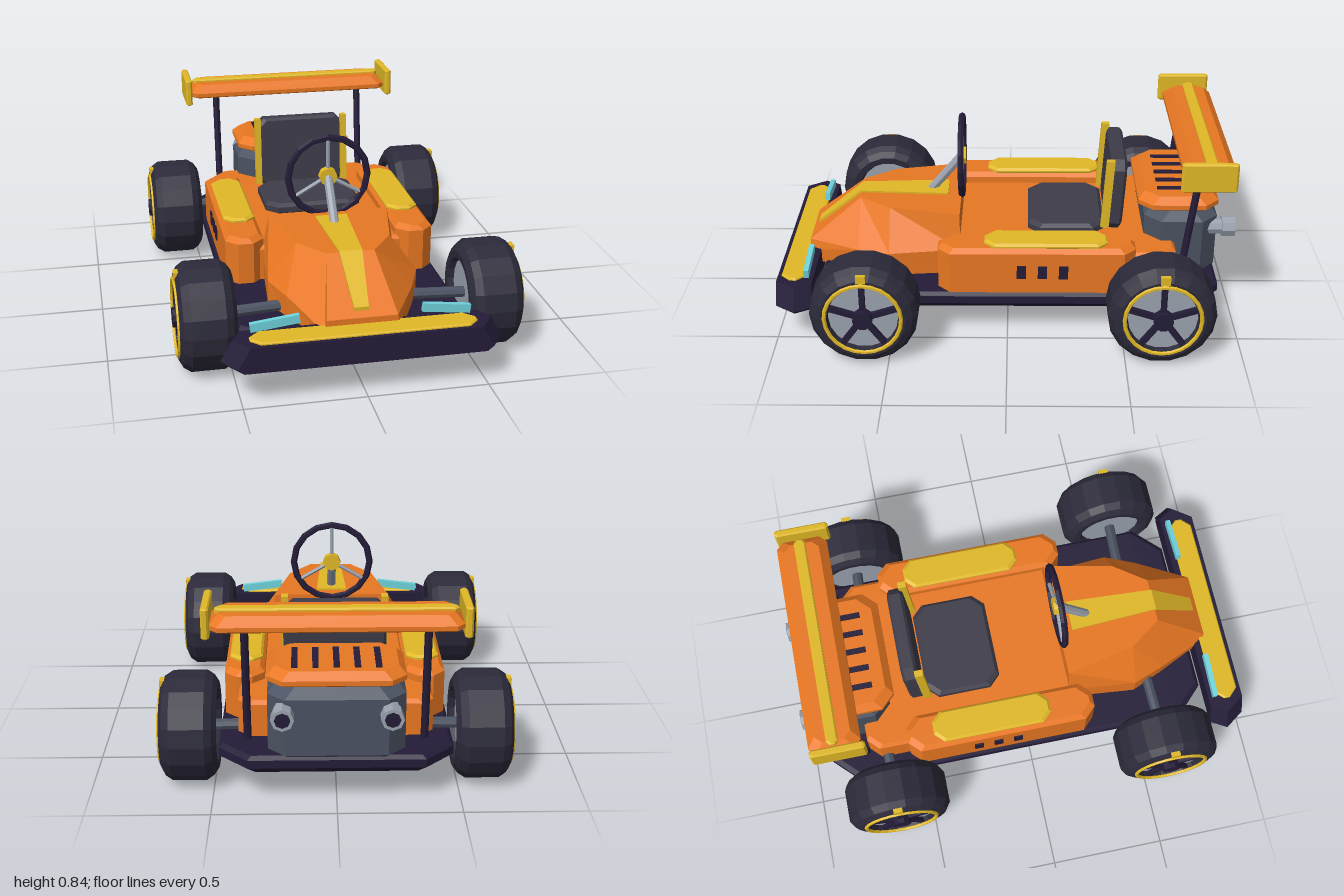
import * as THREE from 'three';

const mat = (color) => new THREE.MeshStandardMaterial({ color, flatShading: true, side: THREE.DoubleSide });
const orange = mat(0xe87722), yellow = mat(0xe0b826), navy = mat(0x241c38), rubber = mat(0x2c2a3a);
const steel = mat(0x9aa2ae), iron = mat(0x4a5261), fabric = mat(0x3d3c49), glass = mat(0x6fd3dc);

// Skin a list of rings (counter-clockwise seen from the last ring's side) and cap both ends
function loft(rings) {
  const pos = [], n = rings[0].length, last = rings.length - 1;
  const tri = (...p) => p.forEach((v) => pos.push(...v));
  for (let i = 0; i < last; i++) {
    for (let j = 0; j < n; j++) {
      const k = (j + 1) % n, a = rings[i], b = rings[i + 1];
      tri(a[j], a[k], b[k]);
      tri(a[j], b[k], b[j]);
    }
  }
  for (let j = 1; j < n - 1; j++) {
    tri(rings[0][0], rings[0][j + 1], rings[0][j]);
    tri(rings[last][0], rings[last][j], rings[last][j + 1]);
  }
  const g = new THREE.BufferGeometry();
  g.setAttribute('position', new THREE.Float32BufferAttribute(pos, 3));
  g.computeVertexNormals();
  return g;
}

// Slab with chamfered corners in plan (c) and bevelled upper and lower edges (lo, hi)
function slab(x0, x1, y0, y1, z0, z1, c, hi = 0.015, lo = hi) {
  const ring = (y, d) => {
    const a = x0 + d, b = x1 - d, f = z1 - d, r = z0 + d;
    return [[b, y, f - c], [b, y, r + c], [b - c, y, r], [a + c, y, r],
      [a, y, r + c], [a, y, f - c], [a + c, y, f], [b - c, y, f]];
  };
  return loft([ring(y0, lo), ring(y0 + lo, 0), ring(y1 - hi, 0), ring(y1, hi)]);
}

function add(parent, name, geometry, material, x = 0, y = 0, z = 0) {
  const m = new THREE.Mesh(geometry, material);
  m.name = name;
  m.position.set(x, y, z);
  parent.add(m);
  return m;
}

// Round bar between two points
function bar(parent, name, from, to, r, material, sides = 8) {
  const a = new THREE.Vector3(...from), b = new THREE.Vector3(...to), d = b.clone().sub(a);
  const m = add(parent, name, new THREE.CylinderGeometry(r, r, d.length(), sides), material);
  m.position.copy(a).add(b).multiplyScalar(0.5);
  m.quaternion.setFromUnitVectors(new THREE.Vector3(0, 1, 0), d.normalize());
  return m;
}

// Wheel with its outer face towards +x
function makeWheel(name) {
  const wheel = new THREE.Group();
  wheel.name = name;
  const profile = [[0.14, -0.09], [0.15, -0.115], [0.18, -0.118], [0.208, -0.1], [0.228, -0.07],
    [0.228, 0.07], [0.208, 0.1], [0.18, 0.115], [0.152, 0.112], [0.145, 0.085]]
    .map(([r, h]) => new THREE.Vector2(r, h));
  add(wheel, 'tire', new THREE.LatheGeometry(profile, 18), rubber).rotation.z = -Math.PI / 2;
  add(wheel, 'rim', new THREE.CylinderGeometry(0.148, 0.148, 0.18, 18), steel).rotation.z = -Math.PI / 2;
  add(wheel, 'rimRing', new THREE.TorusGeometry(0.16, 0.009, 6, 24), yellow, 0.115).rotation.y = Math.PI / 2;
  add(wheel, 'hub', new THREE.CylinderGeometry(0.042, 0.042, 0.06, 10), navy, 0.1).rotation.z = -Math.PI / 2;
  for (let i = 0; i < 5; i++) {
    const spoke = new THREE.Group();
    add(spoke, 'spoke', new THREE.BoxGeometry(0.03, 0.12, 0.024), navy, 0.095, 0.09);
    spoke.rotation.x = (i * Math.PI * 2) / 5;
    wheel.add(spoke);
  }
  add(wheel, 'rimMarker', new THREE.BoxGeometry(0.03, 0.035, 0.04), yellow, 0.104, 0.188);
  return wheel;
}

export function createModel() {
  const kart = new THREE.Group();
  kart.name = 'kart';

  // Floor pan and front bumper
  add(kart, 'floorPan', slab(-0.475, 0.475, 0.135, 0.215, -0.92, 0.825, 0.12, 0.015, 0.03), navy);
  const bumperRing = (y, hx) => [[hx, y, 0.91], [hx - 0.04, y, 0.84], [-hx + 0.04, y, 0.84],
    [-hx, y, 0.91], [-hx + 0.06, y, 0.995], [hx - 0.06, y, 0.995]];
  add(kart, 'frontBumper', loft([bumperRing(0.155, 0.55), bumperRing(0.175, 0.575), bumperRing(0.265, 0.525)]), navy);
  add(kart, 'bumperTrim', slab(-0.46, 0.46, 0.255, 0.275, 0.87, 0.978, 0.04, 0.005), yellow);

  // Tub
  add(kart, 'tub', slab(-0.4, 0.4, 0.2, 0.37, -0.73, 0.27, 0.05), orange);

  // Nose: hexagonal sections running forward
  const noseRing = (z, wb, wm, ym, wt, yt) => [[wb, 0.2, z], [wm, ym, z], [wt, yt, z],
    [-wt, yt, z], [-wm, ym, z], [-wb, 0.2, z]];
  add(kart, 'nose', loft([
    noseRing(0.21, 0.29, 0.295, 0.33, 0.265, 0.487),
    noseRing(0.52, 0.32, 0.32, 0.32, 0.2, 0.487),
    noseRing(0.66, 0.26, 0.265, 0.31, 0.1, 0.487),
    noseRing(0.89, 0.15, 0.155, 0.25, 0.145, 0.3),
  ]), orange);
  const stripeRing = (z, w, y) => [[w, y - 0.03, z], [w, y, z], [-w, y, z], [-w, y - 0.03, z]];
  add(kart, 'noseStripe', loft([stripeRing(0.27, 0.07, 0.495), stripeRing(0.665, 0.048, 0.495),
    stripeRing(0.865, 0.03, 0.335)]), yellow);

  // Parts mirrored on both sides
  for (const s of [1, -1]) {
    const span = (a, b) => (s > 0 ? [a, b] : [-b, -a]);
    const side = s > 0 ? 'left' : 'right';
    add(kart, side + 'SidePod', slab(...span(0.295, 0.462), 0.205, 0.42, -0.55, 0.3, 0.05, 0.02, 0.005), orange);
    add(kart, side + 'PodPad', slab(...span(0.305, 0.445), 0.41, 0.438, -0.43, 0.1, 0.04, 0.01), yellow);
    for (let i = 0; i < 3; i++) {
      add(kart, side + 'SideVent', new THREE.BoxGeometry(0.012, 0.06, 0.04), navy, s * 0.462, 0.313, -0.06 - i * 0.09);
    }
    add(kart, side + 'HeadLight', new THREE.BoxGeometry(0.2, 0.036, 0.022), glass, s * 0.35, 0.302, 0.867).rotation.z = -s * 0.12;

    // Wheels and axles
    for (const [end, z] of [['Front', 0.597], ['Rear', -0.647]]) {
      const wheel = makeWheel(side + end + 'Wheel');
      wheel.position.set(s * 0.6, 0.23, z);
      if (s < 0) wheel.rotation.y = Math.PI;
      kart.add(wheel);
      bar(kart, side + end + 'Axle', [s * 0.25, 0.24, z - 0.01], [s * 0.53, 0.23, z], 0.024, iron);
    }

    // Exhaust pipe with dark bore
    bar(kart, side + 'Exhaust', [s * 0.213, 0.41, -0.84], [s * 0.213, 0.41, -0.995], 0.036, steel);
    bar(kart, side + 'ExhaustTip', [s * 0.213, 0.41, -0.94], [s * 0.213, 0.41, -0.998], 0.046, steel);
    bar(kart, side + 'ExhaustBore', [s * 0.213, 0.41, -0.96], [s * 0.213, 0.41, -1], 0.032, navy);

    // Wing post and end plate
    bar(kart, side + 'WingPost', [s * 0.36, 0.2, -0.745], [s * 0.36, 0.77, -0.815], 0.016, navy);
    add(kart, side + 'WingEndPlate', slab(...span(0.486, 0.517), 0.722, 0.848, -0.944, -0.712, 0.008, 0.006), yellow);
  }

  // Seat with tilted back and side rails
  add(kart, 'seatCushion', slab(-0.222, 0.222, 0.36, 0.415, -0.425, -0.09, 0.05, 0.015), fabric);
  const back = new THREE.Group();
  back.name = 'seatBack';
  back.position.set(0, 0.38, -0.465);
  back.rotation.x = -0.06;
  add(back, 'backrest', slab(-0.215, 0.215, -0.035, 0.035, -0.335, 0.0, 0.04, 0.012), fabric).rotation.x = Math.PI / 2;
  for (const s of [1, -1]) {
    add(back, 'seatRail', new THREE.BoxGeometry(0.028, 0.32, 0.036), yellow, s * 0.208, 0.18, 0.04);
  }
  kart.add(back);

  // Engine, louvred cover
  add(kart, 'engine', slab(-0.275, 0.275, 0.2, 0.52, -0.92, -0.6, 0.07, 0.06, 0.02), iron);
  add(kart, 'engineCover', slab(-0.275, 0.275, 0.515, 0.57, -0.92, -0.57, 0.06, 0.03, 0.005), orange);
  for (let i = -2; i <= 2; i++) {
    add(kart, 'coverSlot', new THREE.BoxGeometry(0.025, 0.012, 0.2), navy, i * 0.083, 0.57, -0.755);
  }

  // Rear wing
  add(kart, 'rearWing', slab(-0.487, 0.487, 0.752, 0.81, -0.95, -0.73, 0.03, 0.035, 0.005), orange);
  add(kart, 'wingStripe', slab(-0.47, 0.47, 0.795, 0.822, -0.87, -0.82, 0.015, 0.006), yellow);

  // Steering wheel, spokes and column
  const steering = new THREE.Group();
  steering.name = 'steeringWheel';
  steering.position.set(0, 0.652, 0.207);
  add(steering, 'rim', new THREE.TorusGeometry(0.176, 0.015, 6, 16), navy);
  add(steering, 'hub', new THREE.CylinderGeometry(0.04, 0.04, 0.035, 8), yellow).rotation.x = Math.PI / 2;
  for (const a of [90, 210, 330]) {
    const t = (a * Math.PI) / 180;
    bar(steering, 'spoke', [0, 0, 0], [0.172 * Math.cos(t), 0.172 * Math.sin(t), 0], 0.009, steel, 6);
  }
  kart.add(steering);
  bar(kart, 'steeringColumn', [0, 0.65, 0.21], [0, 0.47, 0.36], 0.02, steel);

  return kart;
}
